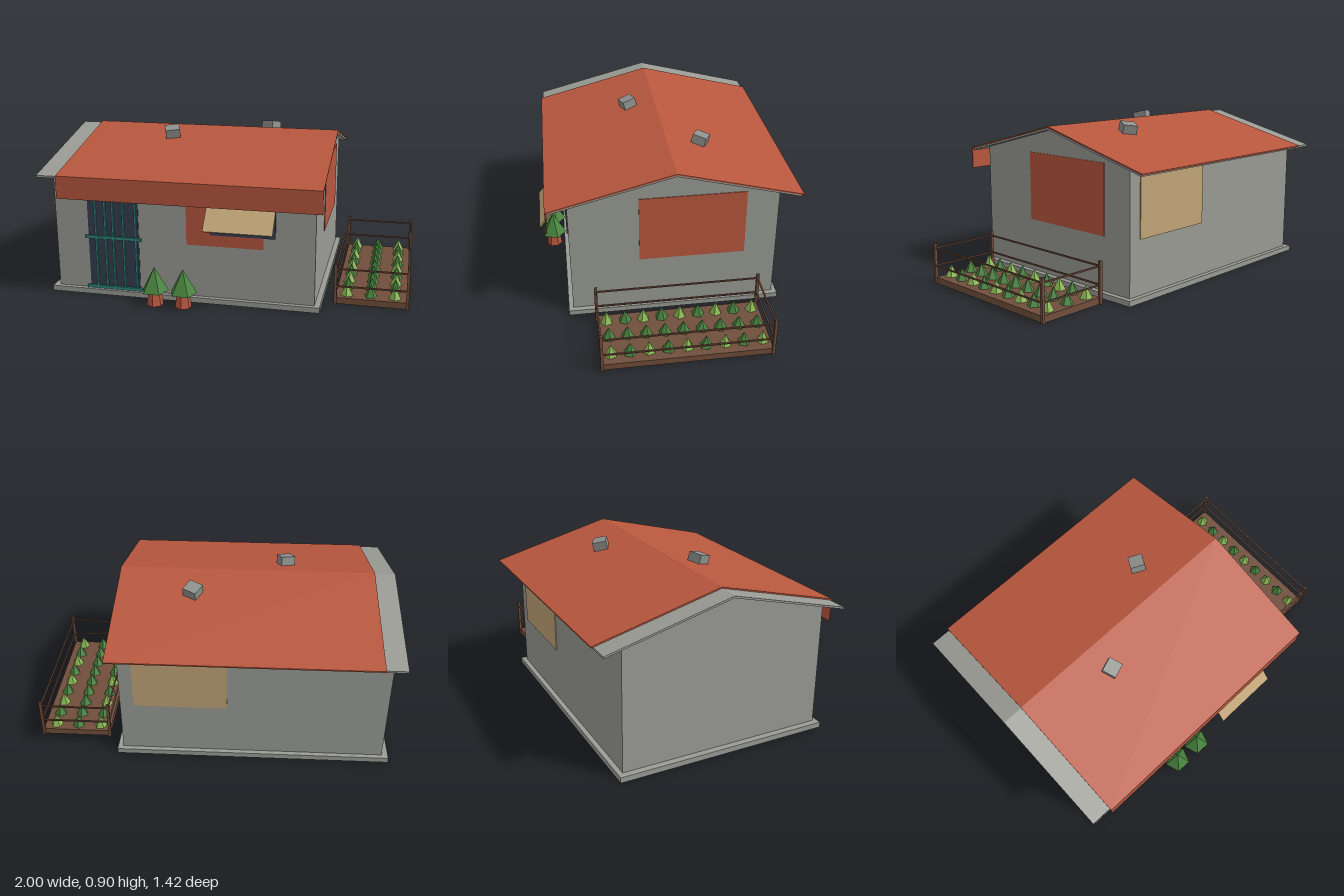
import * as THREE from 'three';

const mat = (name, color) => {
  const m = new THREE.MeshStandardMaterial({ color });
  m.name = name;
  return m;
};

export function createModel() {
  const root = new THREE.Group();
  root.name = 'house';
  const concrete = mat('concrete', 0x999b94);
  const brick = mat('brick red', 0xb8573e);
  const wood = mat('tan board', 0xc0a477);
  const soil = mat('brown timber', 0x714e3b);
  const navy = mat('dark glass', 0x343e4e);
  const teal = mat('teal metal', 0x2f8a80);
  const leaf = mat('leaf green', 0x4a8540);
  const sprout = mat('light green', 0x8ab855);
  const rock = mat('block grey', 0x8f918e);

  const add = (name, geo, material, parent = root) => {
    const mesh = new THREE.Mesh(geo, material);
    mesh.name = name;
    parent.add(mesh);
    return mesh;
  };
  // Box given by its lower and upper corners
  const box = (name, material, x0, x1, y0, y1, z0, z1, parent) => {
    const m = add(name, new THREE.BoxGeometry(x1 - x0, y1 - y0, z1 - z0), material, parent);
    m.position.set((x0 + x1) / 2, (y0 + y1) / 2, (z0 + z1) / 2);
    return m;
  };
  // Prism along x from a profile of [z, y] points
  const prism = (name, material, x0, x1, points) => {
    const shape = new THREE.Shape(points.map(([z, y]) => new THREE.Vector2(z, y)));
    const geo = new THREE.ExtrudeGeometry(shape, { depth: x1 - x0, bevelEnabled: false });
    geo.rotateY(-Math.PI / 2);
    geo.translate(x1, 0, 0);
    return add(name, geo, material);
  };
  // Facets with hard edges
  const facet = (top, bottom, height, sides) => {
    const geo = new THREE.CylinderGeometry(top, bottom, height, sides).toNonIndexed();
    geo.computeVertexNormals();
    return geo;
  };

  // Base and gabled walls
  const ridge = -0.02;
  box('base', concrete, -0.985, 0.535, 0, 0.03, -0.615, 0.58);
  prism('walls', concrete, -0.95, 0.505,
    [[-0.588, 0.03], [0.555, 0.03], [0.555, 0.71], [ridge, 0.858], [-0.588, 0.71]]);

  // Two roof layers: concrete slab and red covering
  const slab = (name, material, x0, x1, half, top, thick) => {
    const edge = top - half * 0.258;
    prism(name, material, x0, x1, [
      [ridge - half, edge - thick], [ridge, top - thick], [ridge + half, edge - thick],
      [ridge + half, edge], [ridge, top], [ridge - half, edge]]);
  };
  slab('roofSlab', concrete, -1, 0.545, 0.678, 0.868, 0.011);
  slab('roofCovering', brick, -0.885, 0.55, 0.69, 0.876, 0.0075);
  box('fascia', brick, -0.885, 0.55, 0.573, 0.698, 0.664, 0.669);

  // Loose blocks resting on the roof
  [[-0.39, 0.86, 0.14, 0.255, 0.35], [0.125, 0.85, -0.22, -0.255, -0.5]].forEach(([x, y, z, tilt, turn]) => {
    const b = add('roofBlock', new THREE.BoxGeometry(0.082, 0.052, 0.08), rock);
    b.position.set(x, y, z);
    b.rotation.set(tilt, turn, 0);
  });

  // Painted wall patches
  box('sidePatch', brick, 0.503, 0.509, 0.328, 0.715, -0.409, 0.177);
  box('frontPatch', brick, -0.197, 0.228, 0.325, 0.66, 0.553, 0.558);
  box('backBoard', wood, -0.08, 0.43, 0.33, 0.71, -0.593, -0.586);

  // Window with propped board awning
  box('window', navy, -0.065, 0.292, 0.39, 0.62, 0.556, 0.563);
  const awning = add('awning', new THREE.BoxGeometry(0.368, 0.008, 0.228), wood);
  awning.position.set(0.117, 0.541, 0.632);
  awning.rotation.x = Math.atan2(0.172, 0.148);

  // Barred door
  const door = new THREE.Group();
  door.name = 'door';
  root.add(door);
  box('doorPanel', navy, -0.76, -0.468, 0.04, 0.66, 0.553, 0.559, door);
  for (const x of [-0.715, -0.66, -0.615, -0.555, -0.485])
    box('verticalBar', teal, x - 0.005, x + 0.005, 0.04, 0.66, 0.558, 0.566, door);
  for (const y of [0.041, 0.333])
    box('crossBar', teal, -0.777, -0.453, y - 0.008, y + 0.008, 0.558, 0.57, door);

  // Two small trees in pots
  for (const x of [-0.355, -0.195]) {
    const tree = new THREE.Group();
    tree.name = 'tree';
    tree.position.set(x, 0, 0.645);
    tree.rotation.y = Math.PI;
    root.add(tree);
    add('trunk', facet(0.034, 0.046, 0.085, 6), brick, tree).position.y = 0.0425;
    add('foliage', facet(0, 0.076, 0.135, 5), leaf, tree).position.y = 0.147;
  }

  // Fenced garden bed
  const garden = new THREE.Group();
  garden.name = 'garden';
  root.add(garden);
  const [gx0, gx1, gz0, gz1] = [0.603, 0.99, -0.473, 0.43];
  box('soilBed', soil, gx0, gx1, 0, 0.036, gz0, gz1, garden);
  for (const x of [gx0, gx1])
    for (const z of [gz0, gz1])
      box('post', soil, x - 0.008, x + 0.008, 0, 0.23, z - 0.008, z + 0.008, garden);
  for (const y of [0.103, 0.203]) {
    for (const x of [gx0, gx1]) box('longRail', soil, x - 0.004, x + 0.004, y - 0.004, y + 0.004, gz0, gz1, garden);
    for (const z of [gz0, gz1]) box('shortRail', soil, gx0, gx1, y - 0.004, y + 0.004, z - 0.004, z + 0.004, garden);
  }
  // Rows of plants
  const plant = facet(0, 0.036, 0.07, 5);
  for (let row = 0; row < 9; row++)
    for (let col = 0; col < 3; col++) {
      const light = row % 2 === 0 && col !== 1;
      const p = add('plant', plant, light ? sprout : leaf, garden);
      p.position.set(0.662 + col * 0.13, 0.072, -0.428 + row * 0.101);
      p.rotation.y = light ? 0 : Math.PI;
    }
  return root;
}
